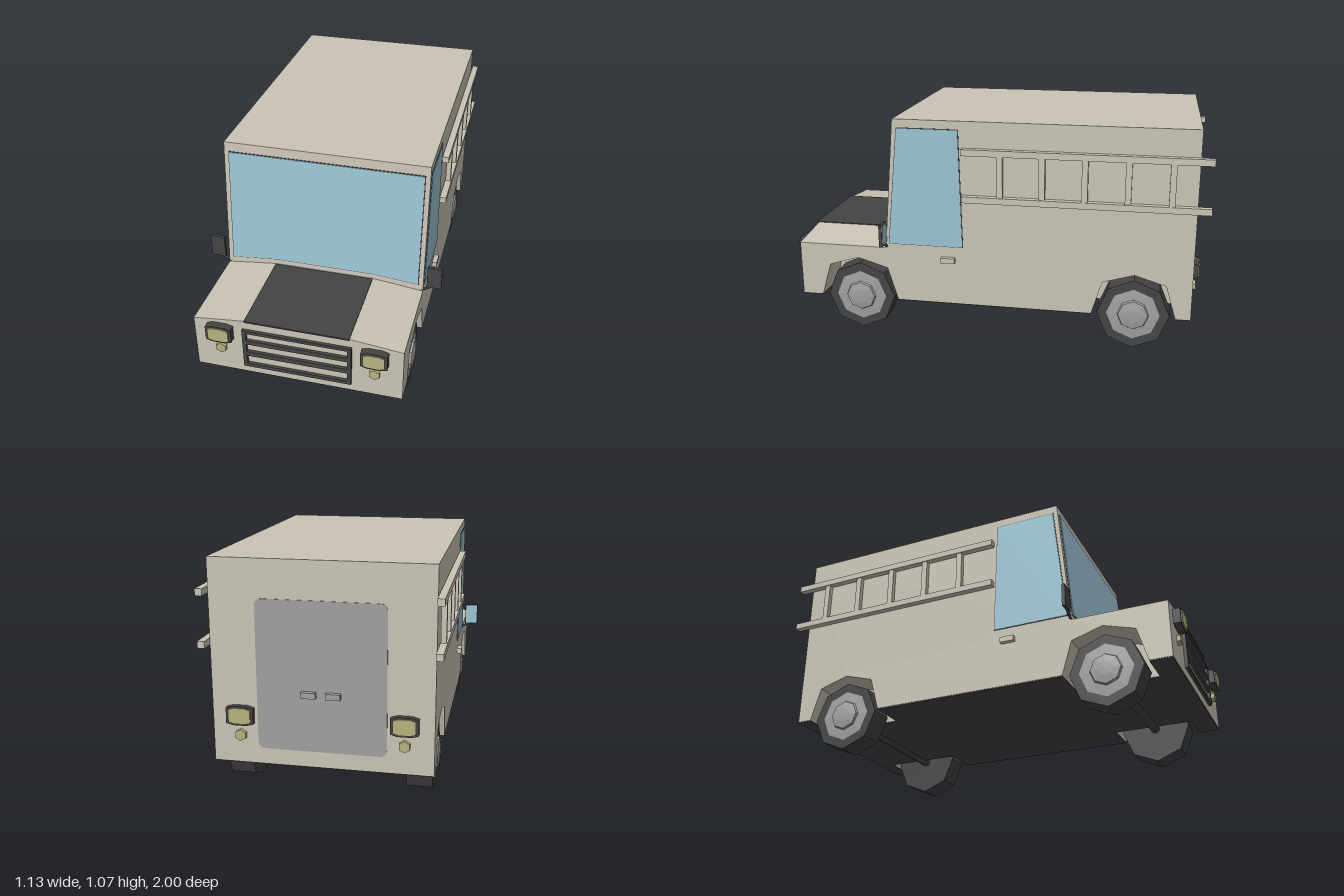
import * as THREE from 'three';

const material = (name, color) => Object.assign(new THREE.MeshStandardMaterial({ color }), { name });

export function createModel() {
  const model = new THREE.Group();
  model.name = 'van';
  const paint = material('beige paint', 0xc9c4b5);
  const dark = material('dark rubber', 0x444444);
  const glass = material('blue glass', 0x9bc4d4);
  const grey = material('grey metal', 0xa0a0a0);
  const lamp = material('yellow lamp', 0xb5b27e);

  const add = (name, geo, mat, parent = model) => {
    const mesh = new THREE.Mesh(geo, mat);
    mesh.name = name;
    parent.add(mesh);
    return mesh;
  };
  // Box given by its limits on each axis
  const box = (name, mat, [x0, x1], [y0, y1], [z0, z1], parent) => {
    const geo = new THREE.BoxGeometry(x1 - x0, y1 - y0, z1 - z0);
    geo.translate((x0 + x1) / 2, (y0 + y1) / 2, (z0 + z1) / 2);
    return add(name, geo, mat, parent);
  };
  const shape = pts => new THREE.Shape(pts.map(p => new THREE.Vector2(...p)));
  const extrude = (s, z0, z1) =>
    new THREE.ExtrudeGeometry(s, { depth: z1 - z0, bevelEnabled: false, curveSegments: 5 }).translate(0, 0, z0);
  // Outline in (z, y), extruded from x0 to x1
  const across = (pts, x0, x1) =>
    new THREE.ExtrudeGeometry(shape(pts), { depth: x1 - x0, bevelEnabled: false })
      .rotateY(-Math.PI / 2).translate(x1, 0, 0);
  const rect = (x0, x1, y0, y1) => [[x0, y0], [x1, y0], [x1, y1], [x0, y1]];

  // Body: a plain core between two sides with wheel arches cut out
  const W = 0.48, WELL = 0.3, FLOOR = 0.17, AXLES = [-0.674, 0.663];
  const arch = z => [[z - 0.195, FLOOR], [z - 0.147, 0.33], [z, 0.374], [z + 0.147, 0.33], [z + 0.195, FLOOR]];
  const upper = [[0.96, FLOOR], [0.96, 0.435], [0.52, 0.435], [0.465, 1.068], [-0.94, 1.068]];
  const core = [[-0.94, FLOOR], ...upper];
  const side = [[-0.94, FLOOR], ...AXLES.flatMap(arch), ...upper];
  add('bodyCore', across(core, -WELL, WELL), paint);
  add('leftBodySide', across(side, WELL, W), paint);
  add('rightBodySide', across(side, -W, -WELL), paint);
  add('hoodCrown', extrude(shape([[-W, 0.435], [W, 0.435], [0.24, 0.462], [-0.24, 0.462]]), 0.48, 0.96), paint);
  box('hoodPanel', dark, [-0.24, 0.24], [0.458, 0.466], [0.525, 0.966]);

  // Dark underside, left open at the wheel wells
  const under = [0.165, 0.171];
  box('underside', dark, [-WELL, WELL], under, [-0.938, 0.958]);
  for (const s of [-1, 1]) {
    const xs = s > 0 ? [WELL, W - 0.002] : [-W + 0.002, -WELL];
    for (const zs of [[-0.938, -0.869], [-0.479, 0.468], [0.858, 0.958]]) box('undersideEdge', dark, xs, under, zs);
  }

  // Windshield, leaning back with the cabin front
  const windshield = new THREE.Group();
  windshield.name = 'windshield';
  windshield.position.set(0, 0.435, 0.52);
  windshield.rotation.x = -Math.atan2(0.055, 0.633);
  model.add(windshield);
  const pane = e => shape([[-0.455 - e, 0.035 - e], [-0.24, 0.055 - e], [0.24, 0.055 - e],
    [0.455 + e, 0.035 - e], [0.455 + e, 0.588 + e], [-0.455 - e, 0.588 + e]]);
  add('windshieldTrim', extrude(pane(0.004), -0.003, 0.002), dark, windshield);
  add('windshieldGlass', extrude(pane(0), -0.002, 0.005), glass, windshield);

  // Grille with three slots
  const grille = shape(rect(-0.25, 0.25, 0.212, 0.418));
  for (const [y0, y1] of [[0.23, 0.276], [0.3, 0.342], [0.364, 0.403]])
    grille.holes.push(shape(rect(-0.232, 0.232, y0, y1)));
  add('grille', extrude(grille, 0.955, 0.975), dark);

  // Rear door with rounded corners and two handles
  const r = 0.035, door = new THREE.Shape();
  door.moveTo(-0.28 + r, 0.24);
  door.lineTo(0.28 - r, 0.24).quadraticCurveTo(0.28, 0.24, 0.28, 0.24 + r);
  door.lineTo(0.28, 0.9 - r).quadraticCurveTo(0.28, 0.9, 0.28 - r, 0.9);
  door.lineTo(-0.28 + r, 0.9).quadraticCurveTo(-0.28, 0.9, -0.28, 0.9 - r);
  door.lineTo(-0.28, 0.24 + r).quadraticCurveTo(-0.28, 0.24, -0.28 + r, 0.24);
  add('rearDoor', extrude(door, -0.943, -0.935), grey);
  for (const s of [-1, 1])
    box('rearDoorHandle', grey, [s * 0.053 - 0.032, s * 0.053 + 0.032], [0.484, 0.51], [-0.964, -0.94]);

  // Lamps: a bowed housing and lens above a small hexagonal lamp
  const lens = (w, h) => shape([[-w, -h * 0.8], [-w * 0.5, -h], [w * 0.5, -h], [w, -h * 0.8],
    [w, h * 0.8], [w * 0.5, h], [-w * 0.5, h], [-w, h * 0.8]]);
  const hexagon = shape([...Array(6).keys()].map(i =>
    [0.026 * Math.sin(i * Math.PI / 3), 0.026 * Math.cos(i * Math.PI / 3)]));
  for (const s of [-1, 1]) for (const front of [true, false]) {
    const lights = new THREE.Group();
    lights.name = front ? 'headlight' : 'rearLight';
    lights.position.set(s * 0.355, 0, front ? 0.96 : -0.94);
    if (!front) lights.rotation.y = Math.PI;
    model.add(lights);
    const d = front ? 0.034 : 0.024;
    add('lampHousing', extrude(lens(0.06, 0.043), -0.01, d), dark, lights).position.y = 0.387;
    add('lampLens', extrude(lens(0.048, 0.035), 0, d + 0.005), lamp, lights).position.y = 0.387;
    add('smallLamp', extrude(hexagon, -0.01, 0.018), lamp, lights).position.y = 0.297;
  }

  // Eight-sided faceted wheels
  const lathe = pts => {
    const geo = new THREE.LatheGeometry(pts.map(p => new THREE.Vector2(...p)), 8)
      .rotateZ(-Math.PI / 2).toNonIndexed();
    geo.computeVertexNormals();
    return geo;
  };
  const tyre = lathe([[0, 0.345], [0.17, 0.345], [0.17, 0.46], [0.125, 0.46]]);
  const rim = lathe([[0.125, 0.46], [0.075, 0.464], [0.07, 0.474], [0.035, 0.48], [0, 0.482]]);
  for (const z of AXLES) {
    for (const s of [-1, 1]) {
      const wheel = new THREE.Group();
      wheel.name = z > 0 ? 'frontWheel' : 'rearWheel';
      wheel.position.set(0, 0.17, z);
      if (s < 0) wheel.rotation.y = Math.PI;
      model.add(wheel);
      add('tyre', tyre, dark, wheel);
      add('rim', rim, grey, wheel);
    }
    add('axle', new THREE.CylinderGeometry(0.023, 0.023, 0.7, 8).rotateZ(Math.PI / 2), dark)
      .position.set(0, 0.17, z);
  }

  // Side fittings, the same on both sides
  const windowPts = [[0.5, 0.46], [0.444, 1.025], [0.155, 1.025], [0.14, 0.46]];
  const trimPts = [[0.504, 0.457], [0.447, 1.029], [0.151, 1.029], [0.136, 0.457]];
  for (const s of [-1, 1]) {
    const span = (a, b) => (s > 0 ? [a, b] : [-b, -a]);
    add('sideWindowTrim', across(trimPts, ...span(0.476, 0.4815)), dark);
    add('sideWindow', across(windowPts, ...span(0.477, 0.484)), glass);
    box('doorHandle', paint, span(0.475, 0.502), [0.38, 0.406], [0.176, 0.243]);

    // Ladder
    const ladder = new THREE.Group();
    ladder.name = 'ladder';
    model.add(ladder);
    for (const y of [0.69, 0.914]) box('ladderRail', paint, span(0.482, 0.513), [y, y + 0.03], [-1, 0.135], ladder);
    for (let i = 0; i < 5; i++) {
      const z = -0.045 - i * 0.195;
      box('ladderRung', paint, span(0.484, 0.508), [0.71, 0.92], [z - 0.014, z + 0.014], ladder);
    }

    // Mirror with a glass face turned to the rear
    const mirror = new THREE.Group();
    mirror.name = 'mirror';
    mirror.position.set(s * 0.531, 0.52, 0.515);
    model.add(mirror);
    box('mirrorShell', dark, [-0.034, 0.034], [-0.055, 0.055], [-0.006, 0.009], mirror);
    box('mirrorGlass', glass, [-0.03, 0.03], [-0.05, 0.05], [-0.009, -0.005], mirror);
    const arm = new THREE.LineCurve3(new THREE.Vector3(s * 0.47, 0.438, 0.515), new THREE.Vector3(s * 0.53, 0.472, 0.515));
    add('mirrorArm', new THREE.TubeGeometry(arm, 1, 0.006, 6), dark);
  }
  return model;
}
